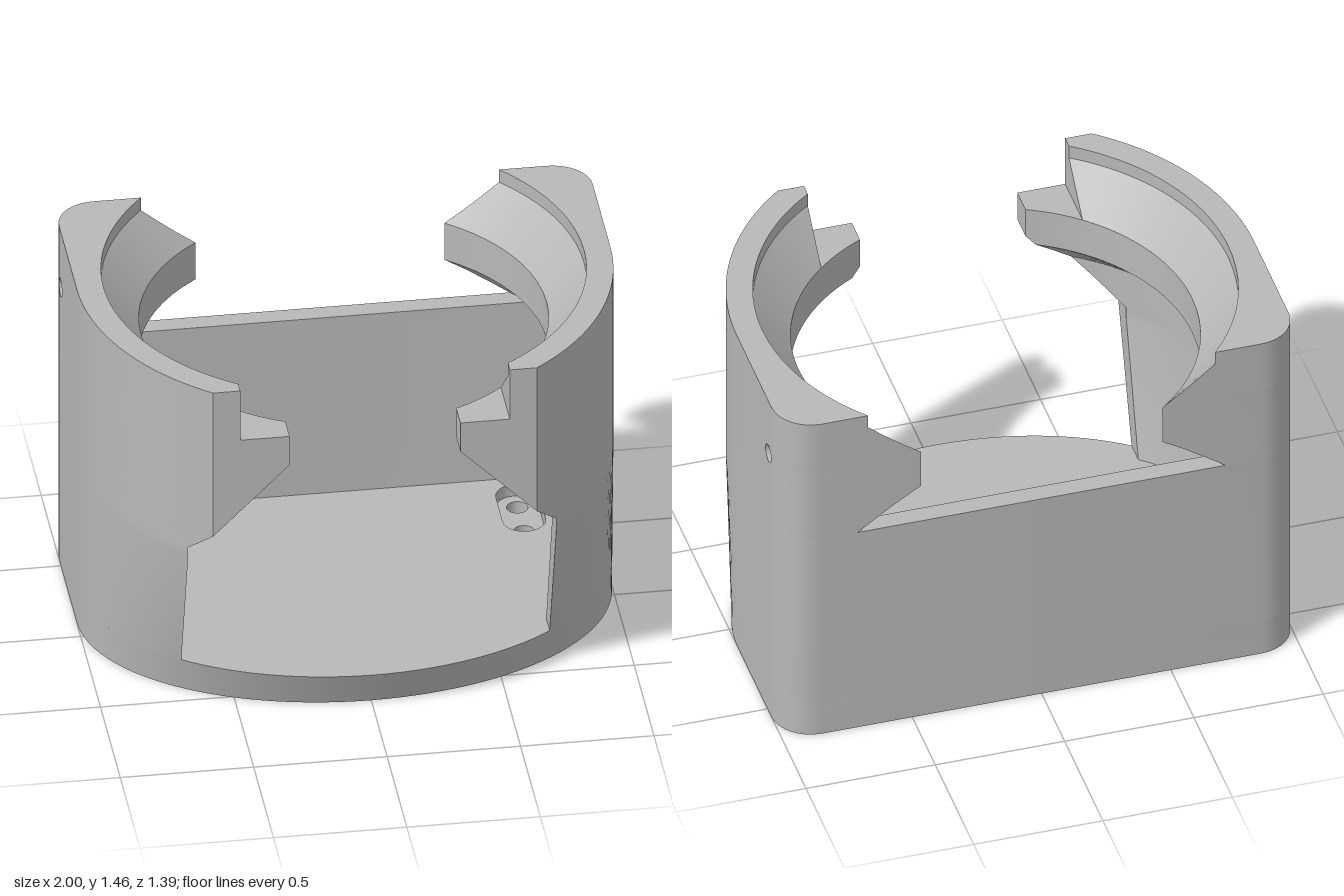
import * as THREE from 'three';
import { toCreasedNormals } from 'three/addons/utils/BufferGeometryUtils.js';

const ARC = 28, CORNER = 8;           // segments of the front curve and of the back corners
const CZ = -0.1, FRONT = 0.695, BACK = -0.7, WALL = 0.07;
const grey = new THREE.MeshStandardMaterial({ color: 0xb8b8b8, side: THREE.DoubleSide });
grey.name = 'grey plastic';

const V2 = (x, z) => new THREE.Vector2(x, z);
// depth of the front curve: the body tapers in towards the base
const depthAt = y => Math.min(1, 0.7 + 0.43 * y);

// half outline (x >= 0) from the front cut xc round to the back end xe
function outline(xc, xe, a, b, back, r, clip) {
  const xClip = b > clip - CZ ? Math.sqrt(1 - ((clip - CZ) / b) ** 2) * a : 0;
  const x1 = Math.max(xc, xClip), t1 = Math.acos(x1 / a);
  const pts = [V2(xc, CZ + b * Math.sin(t1))];
  for (let i = 0; i <= ARC; i++) {
    const t = t1 * (1 - i / ARC);
    pts.push(V2(a * Math.cos(t), CZ + b * Math.sin(t)));
  }
  for (let i = 0; i <= CORNER; i++) {
    const t = (i / CORNER) * Math.PI / 2;
    pts.push(V2(a - r + r * Math.cos(t), back + r - r * Math.sin(t)));
  }
  pts.push(V2(xe, back));
  return pts;
}
const outer = (y, xc, xe) => outline(xc, xe, 1, depthAt(y), BACK, 0.15, FRONT);

// round bore of radius R, open through the back
function bore(R, xc) {
  const t1 = Math.acos(xc / R), t2 = -Math.asin((CZ - BACK) / R);
  const at = t => V2(R * Math.cos(t), CZ + R * Math.sin(t));
  const pts = [at(t1)];
  for (let i = 0; i <= ARC; i++) pts.push(at(t1 * (1 - i / ARC)));
  for (let i = 1; i <= CORNER + 2; i++) pts.push(at(t2 * i / (CORNER + 2)));
  return pts;
}

// skin a stack of sections { y, o: outer points, n: inner points }; s = -1 mirrors it
function loft(sections, s, { caps = true, skip = -1 } = {}) {
  const pos = [];
  const tri = (a, b, c) => (s > 0 ? [a, b, c] : [a, c, b]).forEach(p => pos.push(s * p[0], p[1], p[2]));
  const quad = (a, b, c, d) => { tri(a, b, c); tri(a, c, d); };
  const p3 = (p, y) => [p.x, y, p.y];
  for (let k = 0; k + 1 < sections.length; k++) {
    const [A, B] = [sections[k], sections[k + 1]];
    const la = [...A.o, ...[...A.n].reverse()], lb = [...B.o, ...[...B.n].reverse()];
    for (let i = 0; i < la.length; i++) {
      if (i === skip) continue;
      const j = (i + 1) % la.length;
      quad(p3(la[i], A.y), p3(la[j], A.y), p3(lb[j], B.y), p3(lb[i], B.y));
    }
  }
  if (caps) {
    const lo = sections[0], hi = sections[sections.length - 1];
    for (let i = 0; i + 1 < lo.o.length; i++) {
      quad(p3(hi.o[i], hi.y), p3(hi.o[i + 1], hi.y), p3(hi.n[i + 1], hi.y), p3(hi.n[i], hi.y));
      quad(p3(lo.n[i], lo.y), p3(lo.n[i + 1], lo.y), p3(lo.o[i + 1], lo.y), p3(lo.o[i], lo.y));
    }
  }
  const g = new THREE.BufferGeometry();
  g.setAttribute('position', new THREE.Float32BufferAttribute(pos, 3));
  return toCreasedNormals(g, Math.PI / 7);
}

// rounded rectangle in x and z (a circle when r is half its size)
function roundRect(x0, x1, z0, z1, r) {
  const pts = [];
  [[x1 - r, z1 - r], [x0 + r, z1 - r], [x0 + r, z0 + r], [x1 - r, z0 + r]].forEach(([cx, cz], q) => {
    for (let i = 0; i <= 8; i++) {
      const t = (q + i / 8) * Math.PI / 2;
      pts.push(V2(cx + r * Math.cos(t), cz + r * Math.sin(t)));
    }
  });
  return pts;
}
const circle = (x, z, r) => roundRect(x - r, x + r, z - r, z + r, r);

// flat horizontal face with holes, facing up or down
function plate(pts, holes, y, up) {
  const f = up ? -1 : 1, map = l => l.map(p => V2(p.x, f * p.y));
  const shape = new THREE.Shape(map(pts));
  shape.holes = holes.map(h => new THREE.Path(map(h)));
  return new THREE.ShapeGeometry(shape).rotateX(f * Math.PI / 2).translate(0, y, 0);
}

// upright wall round a recess, facing inwards
function band(pts, y0, y1) {
  const pos = [];
  pts.forEach((p, i) => {
    const q = pts[(i + 1) % pts.length];
    pos.push(p.x, y0, p.y, q.x, y0, q.y, q.x, y1, q.y, p.x, y0, p.y, q.x, y1, q.y, p.x, y1, p.y);
  });
  const g = new THREE.BufferGeometry();
  g.setAttribute('position', new THREE.Float32BufferAttribute(pos, 3));
  return toCreasedNormals(g, Math.PI / 6);
}

export function createModel() {
  const model = new THREE.Group();
  model.name = 'cradle';
  const add = (geometry, name) => {
    const m = new THREE.Mesh(geometry, grey);
    m.name = name;
    model.add(m);
  };

  // floor slab with a shallow label recess below and a slotted pocket with two drain holes
  const FLOOR = 0.15, POCKET = 0.1, RECESS = 0.04;
  const full = y => {
    const h = outer(y, 0, 0);
    return [...h, ...h.slice(1, -1).reverse().map(p => V2(-p.x, p.y))];
  };
  const slot = roundRect(0.63, 0.79, -0.58, -0.25, 0.079);
  const drains = [circle(0.71, -0.33, 0.04), circle(0.71, -0.5, 0.04)];
  const recess = roundRect(-0.92, 0.52, -0.6, -0.21, 0.04);
  add(plate(full(FLOOR), [slot], FLOOR, true), 'floorTop');
  add(plate(full(0), [recess, ...drains], 0, false), 'floorUnderside');
  add(band(slot, POCKET, FLOOR), 'pocketWall');
  add(plate(slot, drains, POCKET, true), 'pocketBottom');
  drains.forEach(d => add(band(d, 0, POCKET), 'drainHole'));
  add(band(recess, 0, RECESS), 'recessWall');
  add(plate(recess, [], RECESS, false), 'recessCeiling');

  // front opening: straight sides, then 45 degree shoulders
  const cut = y => Math.max(0.32, 0.69 - Math.max(0, y - 0.745));
  const SPLIT = 0.915, STEP = 1.24, TOP = 1.455;

  const floorEdge = [0, FLOOR].map(y => {
    const o = outer(y, 0, 0);
    return { y, o, n: o.map(p => V2(0, p.y)) };
  });
  const lower = [FLOOR, 0.7, 0.745, 0.8275, 0.87, SPLIT].map(y => ({
    y, o: outer(y, cut(y), 0),
    n: outline(cut(y), 0, 1 - WALL, depthAt(y) - WALL, BACK + 0.075, 0.08, 2),
  }));
  const ring = (y, R, xc) => ({ y, o: outer(y, xc, Math.sqrt(R * R - (CZ - BACK) ** 2)), n: bore(R, xc) });
  // conical underside and narrow neck
  const neck = [[SPLIT, 0.93], [0.97, 0.873], [1.025, 0.817], [1.08, 0.76], [1.115, 0.76], [STEP, 0.76]]
    .map(([y, R]) => ring(y, R, cut(y)));
  // flared seat and short upright rim
  const rim = [[STEP, 0.76], [1.29, 0.804], [1.345, 0.852], [1.4, 0.9], [TOP, 0.9]]
    .map(([y, R]) => ring(y, R, 0.505));

  for (const s of [1, -1]) {
    const side = s > 0 ? 'left' : 'right';
    add(loft(floorEdge, s, { caps: false }), side + 'FloorEdge');
    add(loft(lower, s), side + 'LowerWall');
    add(loft(neck, s, { skip: ARC + 1 }), side + 'Neck');
    add(loft(rim, s, { skip: ARC + 1 }), side + 'Rim');

    // flat outer side panel with a blind pin hole
    const panel = new THREE.Shape([[0.1, SPLIT], [0.55, SPLIT], [0.55, TOP], [0.1, TOP]]
      .map(([z, y]) => V2(s * z, y)));
    panel.holes.push(new THREE.Path().absarc(s * 0.51, 1.21, 0.036, 0, Math.PI * 2));
    add(new THREE.ShapeGeometry(panel, 16).rotateY(s * Math.PI / 2).translate(s, 0, 0), side + 'SidePanel');
    add(new THREE.CylinderGeometry(0.036, 0.036, 0.28, 24, 1, true).rotateZ(Math.PI / 2)
      .translate(s * 0.86, 1.21, -0.51), side + 'PinHole');
    add(new THREE.CircleGeometry(0.036, 24).rotateY(s * Math.PI / 2)
      .translate(s * 0.72, 1.21, -0.51), side + 'PinHoleEnd');
  }
  return model;
}
